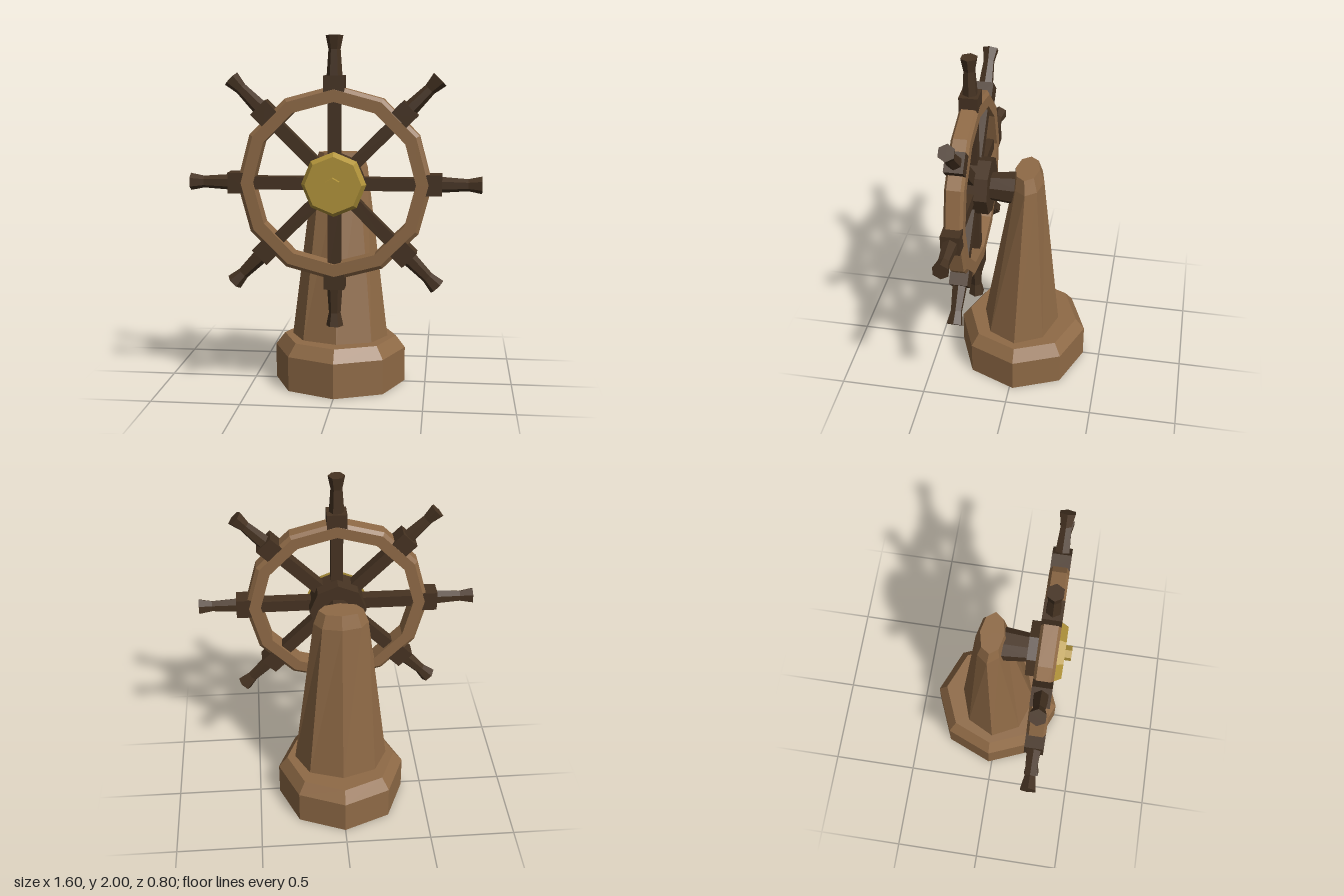
import * as THREE from 'three';

const WHEEL_Y = 1.2, WHEEL_Z = 0.27;

function material(name, color) {
  const m = new THREE.MeshStandardMaterial({ color, flatShading: true });
  m.name = name;
  return m;
}

// Solid through elliptical octagon rings [y, radiusX, radiusZ, centreZ], capped at both ends
function octagonLoft(rings) {
  const n = 8, pos = [];
  const at = ([y, rx, rz, cz], i) => {
    const a = (i / n) * Math.PI * 2;
    return [Math.sin(a) * rx, y, cz + Math.cos(a) * rz];
  };
  const first = rings[0], last = rings[rings.length - 1];
  for (let i = 0; i < n; i++) {
    for (let r = 0; r < rings.length - 1; r++) {
      const a = at(rings[r], i), b = at(rings[r], i + 1);
      const c = at(rings[r + 1], i + 1), d = at(rings[r + 1], i);
      pos.push(...a, ...b, ...c, ...a, ...c, ...d);
    }
    pos.push(0, first[0], first[3], ...at(first, i + 1), ...at(first, i));
    pos.push(0, last[0], last[3], ...at(last, i), ...at(last, i + 1));
  }
  const g = new THREE.BufferGeometry();
  g.setAttribute('position', new THREE.Float32BufferAttribute(pos, 3));
  g.computeVertexNormals();
  return g;
}

// Disc along z between z0 and z1, given in model depth
function disc(rFront, rBack, z0, z1, sides, turn = 0) {
  const g = new THREE.CylinderGeometry(rFront, rBack, z1 - z0, sides, 1, false, turn);
  return g.rotateX(Math.PI / 2).translate(0, 0, (z0 + z1) / 2 - WHEEL_Z);
}

export function createModel() {
  const wood = material('wood', 0x8f6a46);
  const darkWood = material('dark wood', 0x463322);
  const brass = material('brass', 0xb2943a);

  const model = new THREE.Group();
  model.name = 'shipWheel';
  const add = (parent, name, geometry, mat) => {
    const mesh = new THREE.Mesh(geometry, mat);
    mesh.name = name;
    parent.add(mesh);
    return mesh;
  };

  // Chamfered base and leaning post
  add(model, 'base', octagonLoft([
    [0, 0.38, 0.38, -0.02], [0.2, 0.38, 0.38, -0.02], [0.27, 0.327, 0.327, -0.02],
  ]), wood);
  add(model, 'post', octagonLoft([
    [0.26, 0.279, 0.227, -0.012], [1.26, 0.155, 0.086, -0.053], [1.34, 0.125, 0.068, -0.045],
  ]), wood);

  const wheel = new THREE.Group();
  wheel.name = 'wheel';
  wheel.position.set(0, WHEEL_Y, WHEEL_Z);
  model.add(wheel);

  // Axle, hub and brass cap
  add(wheel, 'axle', disc(0.08, 0.1, -0.03, 0.17, 8, Math.PI / 8), darkWood);
  add(wheel, 'hub', disc(0.165, 0.165, 0.16, 0.325, 8), darkWood);
  add(wheel, 'hubCap', disc(0.155, 0.178, 0.322, 0.362, 8), brass);
  add(wheel, 'hubKnob', disc(0.043, 0.043, 0.355, 0.4, 6), brass);

  // Twelve-sided rim with chamfered outer edges
  const profile = [
    [0.445, -0.053], [0.512, -0.053], [0.533, -0.038],
    [0.533, 0.038], [0.512, 0.053], [0.445, 0.053], [0.445, -0.053],
  ].map(([x, y]) => new THREE.Vector2(x, y));
  add(wheel, 'rim', new THREE.LatheGeometry(profile, 12).rotateX(Math.PI / 2), wood);

  // Eight spokes, each with a block at the rim and a flared hexagonal handle
  const bar = new THREE.BoxGeometry(0.07, 0.4, 0.07).translate(0, 0.3, 0);
  const block = new THREE.BoxGeometry(0.114, 0.105, 0.105).translate(0, 0.5325, 0);
  const grip = new THREE.CylinderGeometry(0.033, 0.043, 0.14, 6, 1, false, Math.PI / 6)
    .translate(0, 0.655, 0);
  const flare = new THREE.CylinderGeometry(0.048, 0.033, 0.075, 6, 1, false, Math.PI / 6)
    .translate(0, 0.7625, 0);
  for (let i = 0; i < 8; i++) {
    const spoke = new THREE.Group();
    spoke.name = 'spoke';
    spoke.rotation.z = (i * Math.PI) / 4;
    add(spoke, 'spokeBar', bar, darkWood);
    add(spoke, 'rimBlock', block, darkWood);
    add(spoke, 'handleGrip', grip, darkWood);
    add(spoke, 'handleEnd', flare, darkWood);
    wheel.add(spoke);
  }
  return model;
}
